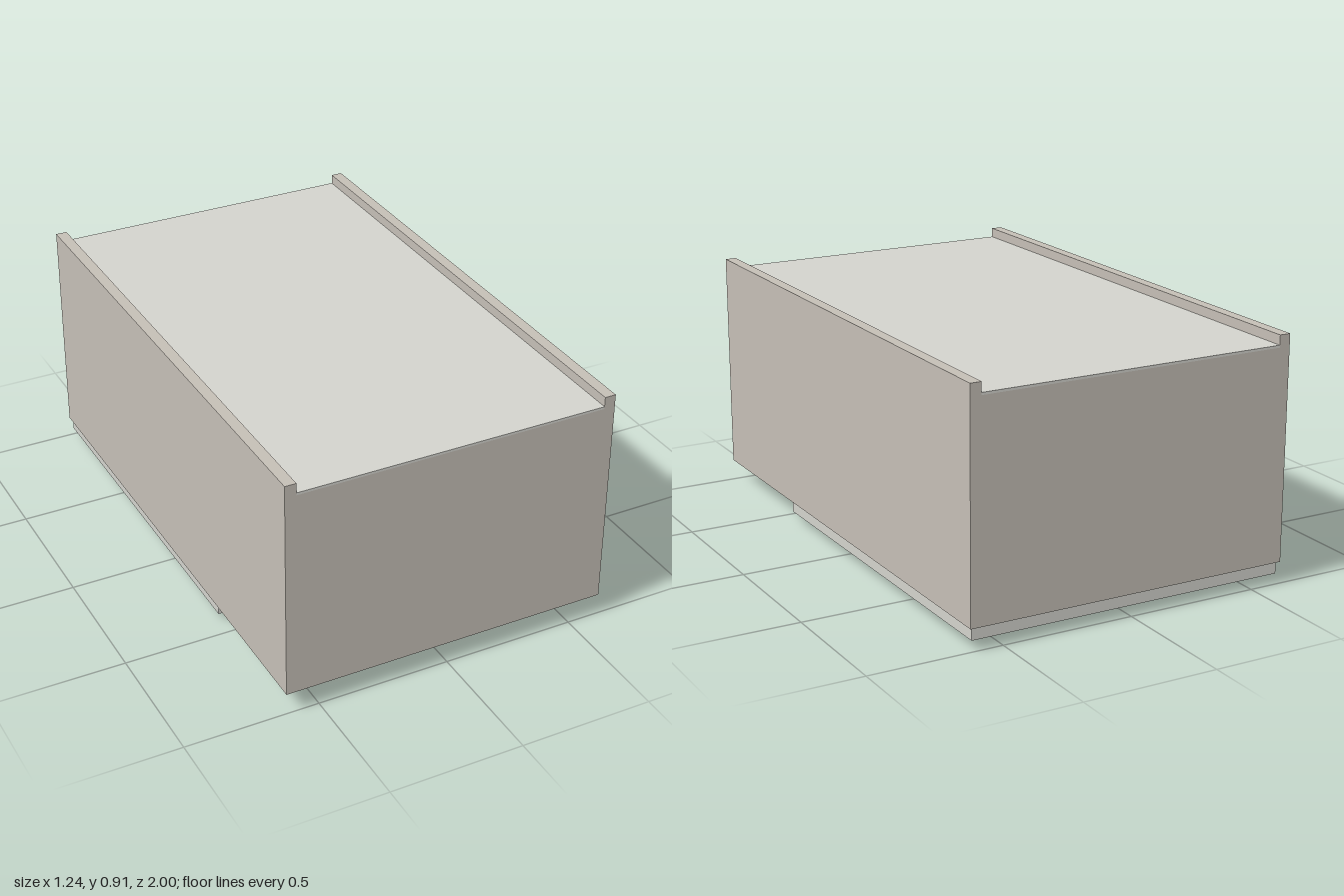
import * as THREE from 'three';

export function createModel() {
  const group = new THREE.Group();
  const wallMat = new THREE.MeshStandardMaterial({ color: 0xc4beb5 });
  const panelMat = new THREE.MeshStandardMaterial({ color: 0xd2d2cc });
  const handleMat = new THREE.MeshStandardMaterial({ color: 0x80808a });

  // box given by its min and max corners
  const addBox = (name, material, [x0, y0, z0], [x1, y1, z1]) => {
    const mesh = new THREE.Mesh(new THREE.BoxGeometry(x1 - x0, y1 - y0, z1 - z0), material);
    mesh.position.set((x0 + x1) / 2, (y0 + y1) / 2, (z0 + z1) / 2);
    mesh.name = name;
    group.add(mesh);
  };

  const W = 0.622, T = 0.042, inner = W - T;
  const bottom = 0.081, ledge = 0.868, deck = 0.877, top = 0.913;

  // side walls rise above the top panel as rails
  addBox('leftWall', wallMat, [inner, bottom, -1], [W, top, 1]);
  addBox('rightWall', wallMat, [-W, bottom, -1], [-inner, top, 1]);

  // end walls fit between the sides
  addBox('frontWall', wallMat, [-inner, bottom, 1 - T], [inner, ledge, 1]);
  addBox('backWall', wallMat, [-inner, bottom, -1], [inner, ledge, -1 + T]);

  // thin panel closing the top, resting on the end walls
  addBox('topPanel', panelMat, [-inner, ledge, -1], [inner, deck, 1]);

  // sliding panel under the box, pushed back to leave the front open
  addBox('slidingPanel', panelMat, [-0.612, 0.035, -0.988], [0.612, bottom, 0.432]);

  // pull handle below the sliding panel
  addBox('handle', handleMat, [-0.132, 0, 0.215], [0.132, 0.035, 0.245]);

  return group;
}
